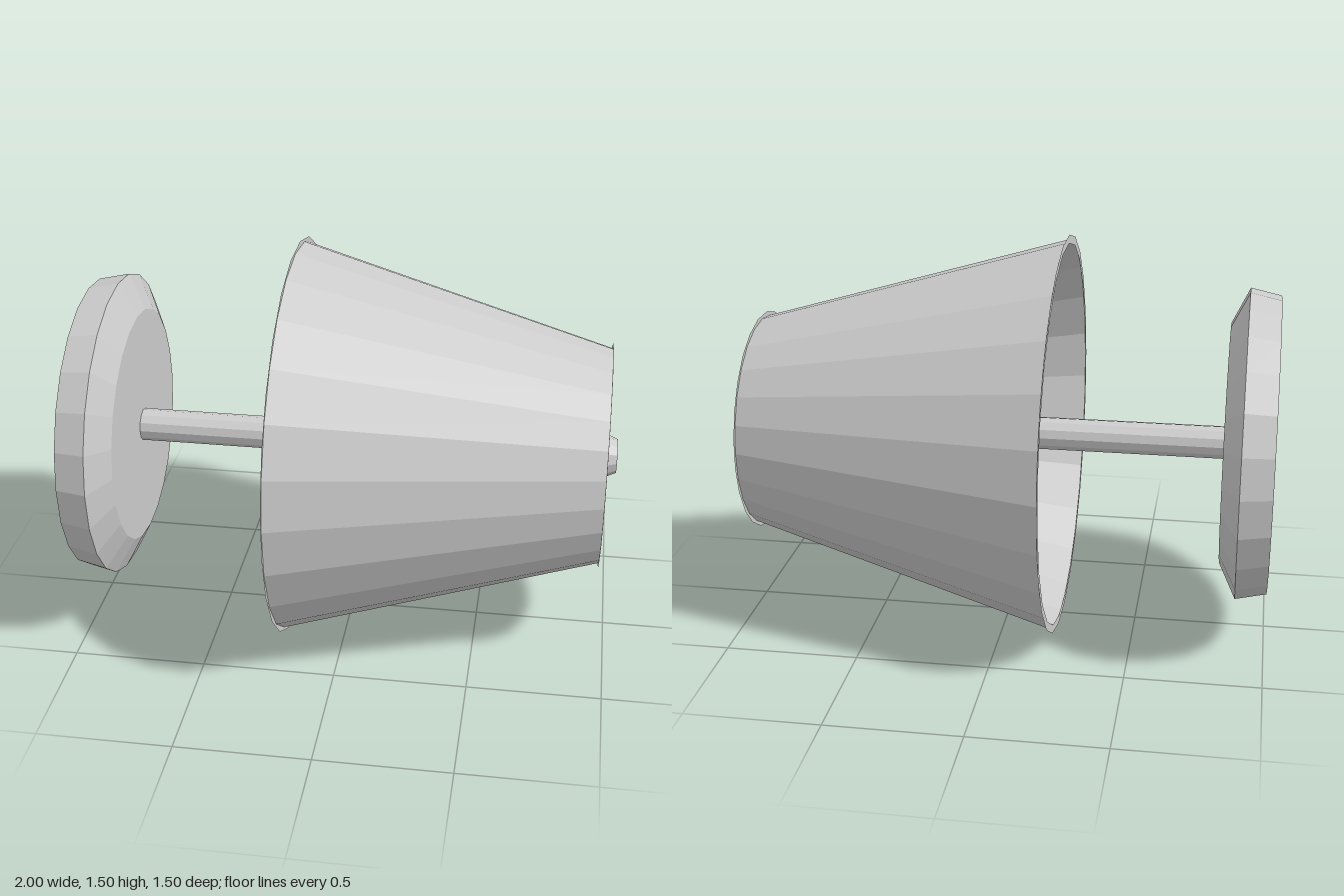
import * as THREE from 'three';

const AXIS_Y = 0.757; // height of the lamp's axis, which lies along x

export function createModel() {
  const lamp = new THREE.Group();
  lamp.name = 'lyingLamp';

  const grey = new THREE.MeshStandardMaterial({ color: 0xcccccc, side: THREE.DoubleSide });
  grey.name = 'lightGrey';

  // Faceted turned part; each profile point is [x along the axis, radius]
  function turned(name, profile, sides, turn = 0) {
    const points = profile.map(([x, r]) => new THREE.Vector2(r, x));
    const geometry = new THREE.LatheGeometry(points, sides, turn).toNonIndexed();
    geometry.rotateZ(-Math.PI / 2);
    geometry.computeVertexNormals();
    const mesh = new THREE.Mesh(geometry, grey);
    mesh.name = name;
    mesh.position.y = AXIS_Y;
    lamp.add(mesh);
  }

  // Foot disc with a bevelled front edge
  turned('base', [[-1, 0], [-1, 0.557], [-0.885, 0.582], [-0.82, 0.45], [-0.82, 0]], 24);

  // Stem running up to the bulb
  turned('stem', [[-0.82, 0.062], [0.06, 0.062]], 12);

  // Socket cone and flared bulb inside the shade
  turned('bulb', [
    [0.0, 0], [0.0, 0.07], [0.11, 0.155], [0.12, 0.2],
    [0.2, 0.155], [0.28, 0.085], [0.3, 0],
  ], 16);

  // Open conical shade
  turned('shade', [[-0.21, 0.74], [0.957, 0.404]], 24);

  // Flat rims around both openings of the shade
  const halfStep = Math.PI / 24;
  turned('largeRim', [[-0.21, 0.725], [-0.21, 0.757]], 24, halfStep);
  turned('smallRim', [[0.957, 0.42], [0.957, 0.387]], 24, halfStep);

  // Tapered finial at the tip
  turned('finial', [[0.92, 0], [0.925, 0.07], [0.95, 0.085], [1, 0.063], [1, 0]], 12);

  return lamp;
}
